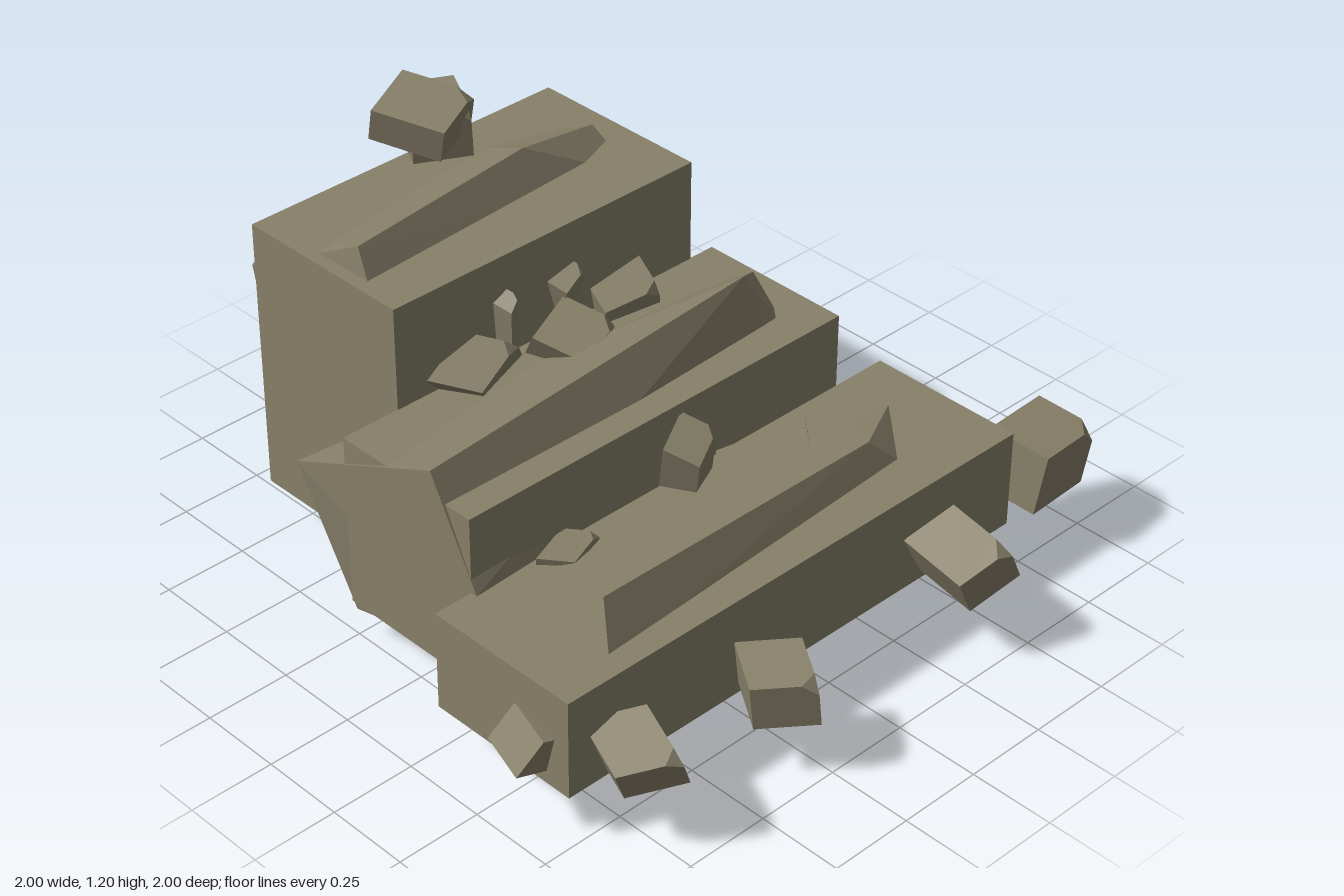
import * as THREE from 'three';
import { ConvexGeometry } from 'three/addons/geometries/ConvexGeometry.js';

const stone = new THREE.MeshStandardMaterial({ color: 0x878069 });
stone.name = 'stone';

function add(group, name, geometry) {
  const mesh = new THREE.Mesh(geometry, stone);
  mesh.name = name;
  group.add(mesh);
  return mesh;
}

// Square step between two corners
function step(group, name, a, b) {
  const mesh = add(group, name, new THREE.BoxGeometry(b[0] - a[0], b[1] - a[1], b[2] - a[2]));
  mesh.position.set((a[0] + b[0]) / 2, (a[1] + b[1]) / 2, (a[2] + b[2]) / 2);
}

// Rough-cut slab spanned by its corners
function slab(group, name, corners) {
  add(group, name, new ConvexGeometry(corners.map((c) => new THREE.Vector3(...c))));
}

// Chipped block, turned by rot and fitted between two corners
function rock(group, name, min, max, rot) {
  const euler = new THREE.Euler(...rot);
  const points = [];
  for (const x of [-1, 1]) for (const y of [-1, 1]) for (const z of [-1, 1]) {
    // one corner is chipped off
    const chips = x + y + z === 3 ? [[0.5, 1, 1], [1, 0.5, 1], [1, 1, 0.5]] : [[x, y, z]];
    for (const c of chips) points.push(new THREE.Vector3(...c).applyEuler(euler));
  }
  const box = new THREE.Box3().setFromPoints(points);
  const size = box.getSize(new THREE.Vector3());
  const lo = new THREE.Vector3(...min);
  const span = new THREE.Vector3(...max).sub(lo);
  for (const p of points) p.sub(box.min).divide(size).multiply(span).add(lo);
  add(group, name, new ConvexGeometry(points));
}

export function createModel() {
  const group = new THREE.Group();
  group.name = 'rockSteps';

  // Three steps
  step(group, 'lowerStep', [-0.91, 0.155, 0.26], [0.7, 0.45, 0.74]);
  step(group, 'middleStep', [-0.79, 0.155, -0.22], [0.525, 0.675, 0.26]);
  step(group, 'upperStep', [-0.61, 0.155, -0.785], [0.44, 0.98, -0.218]);

  // Tilted slabs running through the steps
  slab(group, 'lowerSlab', [
    [-0.67, 0.57, 0.61], [-0.72, 0.42, 0.685], [-0.78, 0.36, 0.1], [-0.79, 0.16, 0.16],
    [-0.79, 0.08, 0.3], [-0.72, 0.035, 0.21], [-0.76, 0.25, 0.7],
    [0.31, 0.53, 0.575], [0.56, 0.45, 0.42], [0.65, 0.38, 0.27], [0.65, 0.3, 0.055],
    [0.64, 0.005, 0.18], [0.66, 0.14, 0.43], [0.6, 0.25, 0.68],
  ]);
  slab(group, 'middleSlab', [
    [-0.8, 0.76, 0.13], [-0.79, 0.45, 0.28], [-0.79, 0.25, 0.27], [-0.79, 0.5, -0.42], [-0.76, 0.1, -0.24],
    [0.31, 0.825, 0.11], [0.42, 0.76, 0.04], [0.44, 0.6, 0.17], [0.44, 0.25, 0.28],
    [0.45, 0.58, -0.2], [0.45, 0.36, -0.33], [0.42, 0.04, -0.2],
  ]);
  slab(group, 'upperSlab', [
    [-0.56, 1.06, -0.41], [-0.58, 0.9, -0.32], [-0.58, 0.45, -0.25], [-0.6, 0.84, -0.81],
    [-0.58, 0.5, -0.76], [-0.5, 0.13, -0.6], [-0.4, 0.79, -0.96],
    [0.05, 1.08, -0.46], [0.34, 1.02, -0.5], [0.38, 0.9, -0.38], [0.38, 0.45, -0.25],
    [0.18, 0.8, -1], [0.36, 0.66, -0.94], [0.38, 0.86, -0.78], [0.36, 0.09, -0.63],
  ]);

  // Loose rocks: low corner, high corner, rotation
  const rocks = [
    ['topRock', [-0.22, 1.05, -0.88], [0.06, 1.2, -0.55], [0.15, 0.4, 0.12]],
    ['topRock', [-0.13, 0.99, -0.87], [0.1, 1.16, -0.62], [0.1, -0.5, 0.1]],
    ['frontRock', [-0.88, 0.17, 0.66], [-0.635, 0.35, 0.96], [0.3, -0.4, 0.4]],
    ['frontRock', [-0.44, 0.175, 0.735], [-0.2, 0.335, 1], [0.1, -0.65, 0.15]],
    ['frontRock', [0.26, 0.165, 0.72], [0.5, 0.375, 0.985], [0.15, -0.12, 0.45]],
    ['sideRock', [0.74, 0.16, 0.575], [1, 0.38, 0.8], [0.12, 0.1, -0.08]],
    ['sideRock', [-1, 0.175, 0.51], [-0.75, 0.34, 0.7], [0.2, -0.2, -0.35]],
    // rubble on the middle step
    ['middleRubble', [-0.22, 0.6, -0.25], [0.03, 0.8, 0], [0.4, 0.4, 0.2]],
    ['middleRubble', [0.04, 0.6, -0.28], [0.28, 0.77, -0.11], [0.3, -0.2, 0.2]],
    ['middleRubble', [-0.52, 0.6, -0.3], [-0.2, 0.79, -0.1], [0.3, 0.5, 0.4]],
    ['middleRubble', [-0.1, 0.72, -0.32], [0.035, 0.875, -0.16], [0.3, 0.3, 0.2]],
    ['middleRubble', [-0.28, 0.7, -0.26], [-0.215, 0.88, -0.16], [0.1, 0.3, 0.15]],
    // rubble on the lower step
    ['lowerRubble', [-0.16, 0.4, 0.22], [0.015, 0.645, 0.37], [0.3, 0.5, 0.2]],
    ['lowerRubble', [-0.06, 0.38, 0.26], [0.36, 0.475, 0.46], [0.1, -0.4, 0.1]],
    ['lowerRubble', [-0.6, 0.38, 0.24], [-0.4, 0.485, 0.36], [0.1, 0.5, 0.1]],
  ];
  for (const r of rocks) rock(group, ...r);

  return group;
}
